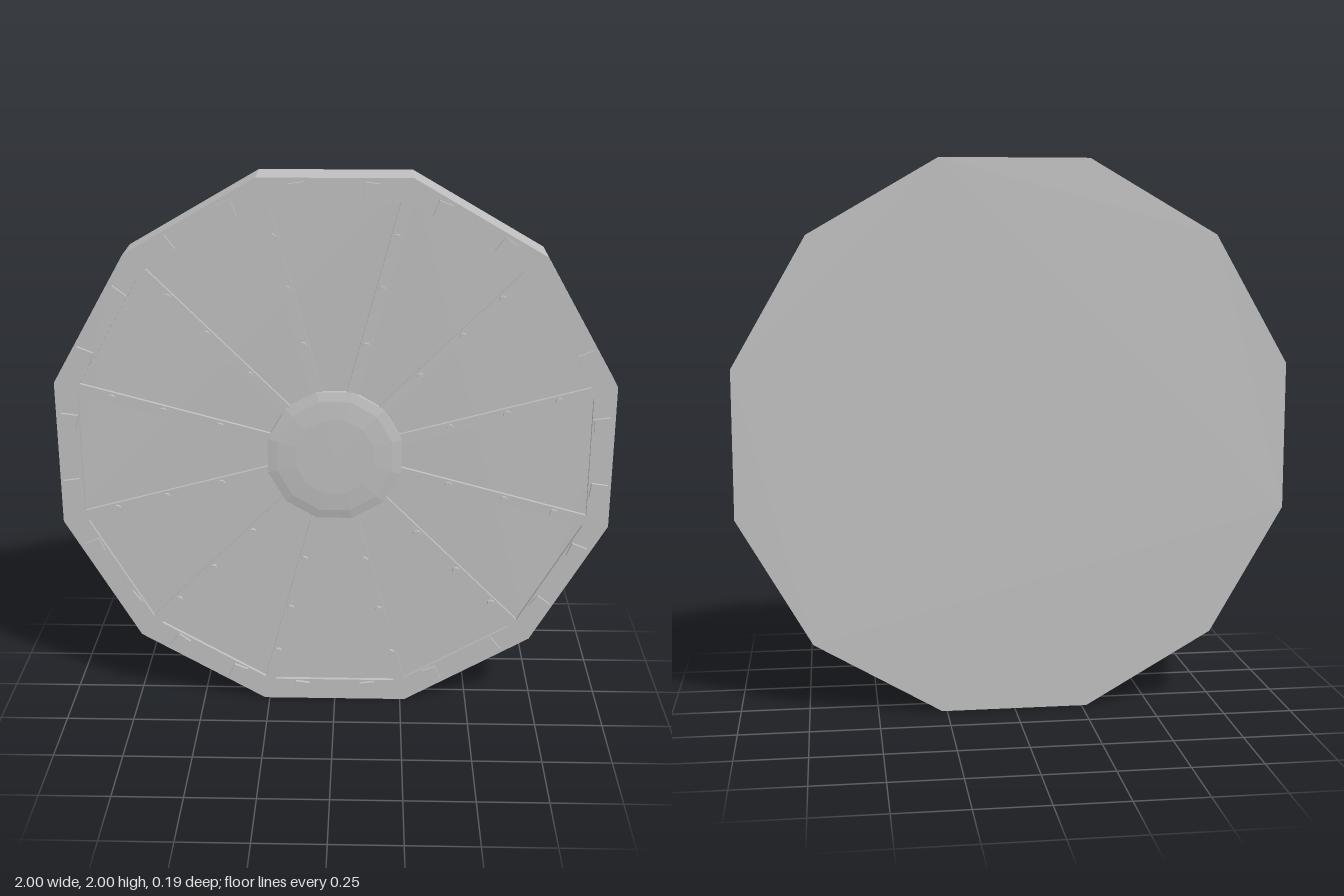
import * as THREE from 'three';

const SIDES = 12;
const STEP = (Math.PI * 2) / SIDES;
const BACK = -0.093, FLOOR = 0.063, FACE = 0.077, TOP = 0.089;

// Corners of a twelve-sided outline with a flat side at the top
function outline(apothem) {
  const r = apothem / Math.cos(STEP / 2);
  return Array.from({ length: SIDES }, (_, i) => {
    const a = (i + 0.5) * STEP;
    return new THREE.Vector2(r * Math.cos(a), r * Math.sin(a));
  });
}

// Tapered opening between two spokes
function panelHole(i) {
  const inner = 0.236, outer = 0.918, gap = 0.021;
  const half = (d) => d * Math.tan(STEP / 2) - gap;
  const origin = new THREE.Vector2();
  const points = [
    [inner, -half(inner)], [outer, -half(outer)], [outer, half(outer)], [inner, half(inner)],
  ].map(([x, y]) => new THREE.Vector2(x, y).rotateAround(origin, i * STEP));
  return new THREE.Path(points);
}

function slab(shape, z0, z1) {
  const geometry = new THREE.ExtrudeGeometry(shape, { depth: z1 - z0, bevelEnabled: false });
  return geometry.translate(0, 0, z0);
}

export function createModel() {
  const metal = new THREE.MeshStandardMaterial({ color: 0xbfbfbf });
  metal.name = 'grey metal';

  const model = new THREE.Group();
  model.name = 'spokedDisc';
  const door = new THREE.Group();
  door.name = 'disc';
  door.position.y = 1;
  model.add(door);

  const add = (name, geometry, parent = door) => {
    const mesh = new THREE.Mesh(geometry, metal);
    mesh.name = name;
    parent.add(mesh);
    return mesh;
  };

  // Solid disc behind, and a front frame whose openings form the sunken panels
  add('backDisc', slab(new THREE.Shape(outline(1)), BACK, FLOOR));
  const frame = new THREE.Shape(outline(1));
  for (let i = 0; i < SIDES; i++) frame.holes.push(panelHole(i));
  add('spokedFrame', slab(frame, FLOOR, FACE));

  // Shallow faceted hub
  const profile = [[0.25, FLOOR], [0.25, 0.081], [0.215, 0.088], [0.145, 0.093], [0, 0.093]]
    .map(([r, z]) => new THREE.Vector2(r, z));
  const hub = new THREE.LatheGeometry(profile, SIDES, STEP / 2).rotateX(Math.PI / 2).toNonIndexed();
  hub.computeVertexNormals();
  add('hub', hub);

  // Blocks around the rim, two on each side
  const rim = new THREE.Group();
  rim.name = 'rimBlocks';
  door.add(rim);
  const blockGeometry = new THREE.BoxGeometry(0.06, 0.053, TOP - FACE + 0.005);
  for (let i = 0; i < SIDES * 2; i++) {
    const a = (i + 0.5) * (STEP / 2);
    const block = add('rimBlock', blockGeometry, rim);
    block.position.set(0.963 * Math.cos(a), 0.963 * Math.sin(a), (TOP + FACE - 0.005) / 2);
    block.rotation.z = a;
  }

  // Three bolts on each spoke
  const bolts = new THREE.Group();
  bolts.name = 'spokeBolts';
  door.add(bolts);
  const boltGeometry = new THREE.CylinderGeometry(0.014, 0.014, TOP - FACE + 0.005, 8)
    .rotateX(Math.PI / 2).toNonIndexed();
  boltGeometry.computeVertexNormals();
  for (let i = 0; i < SIDES; i++) {
    const a = (i + 0.5) * STEP;
    for (const r of [0.427, 0.636, 0.825]) {
      const bolt = add('bolt', boltGeometry, bolts);
      bolt.position.set(r * Math.cos(a), r * Math.sin(a), (TOP + FACE - 0.005) / 2);
      bolt.rotation.z = a;
    }
  }

  return model;
}
